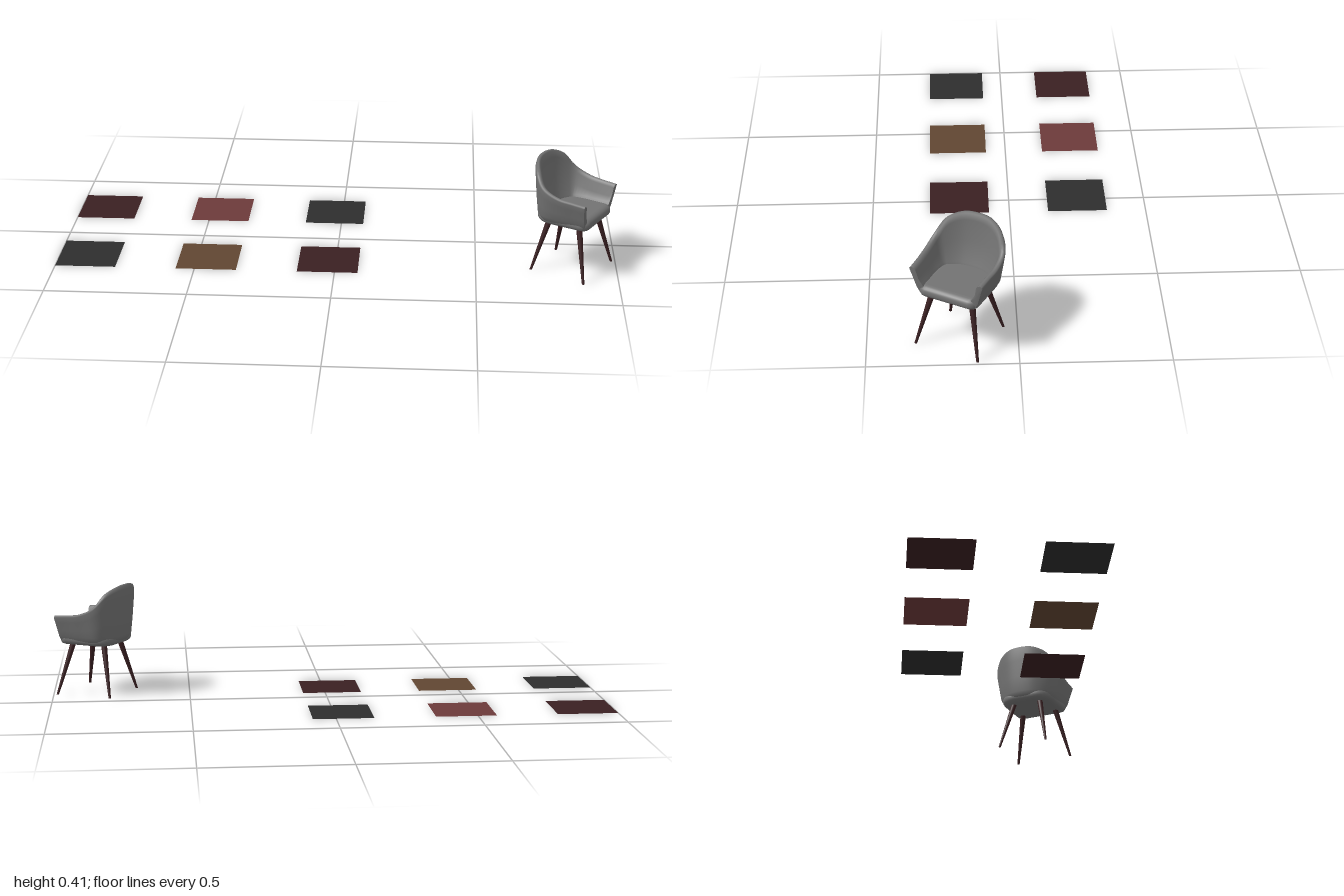
import * as THREE from 'three';
import { mergeVertices } from 'three/addons/utils/BufferGeometryUtils.js';

const material = (name, color) =>
  new THREE.MeshStandardMaterial({ name, color, side: THREE.DoubleSide });

// Half of the shell rim, from the middle of the back to the arm tip: x, y, z
const RIM = [
  [0, 0.411, -0.132], [0.055, 0.406, -0.125], [0.105, 0.382, -0.098],
  [0.132, 0.335, -0.06], [0.137, 0.308, 0], [0.134, 0.301, 0.055], [0.133, 0.297, 0.104],
];

// Wall cross-section as [inset, height], from the outer bottom over the rim to the inner bottom
function wallProfile(top, back) {
  const h = top - 0.21;
  const at = (k) => 0.21 + k * h;
  const flare = 0.008 * (1 - back);
  return [
    [0.06, 0.188], [0.038, 0.191], [0.022 + flare, 0.203], [0.013 + flare, 0.22],
    [0.007 + flare, at(0.35)], [0.002 + flare / 2, at(0.7)], [0, at(0.92)], [0.003, top - 0.003],
    [0.01, top], [0.017, top - 0.004], [0.023, at(0.87)], [0.03, at(0.5)],
    [0.04 + 0.015 * back, 0.236], [0.055 + 0.01 * back, 0.212],
  ];
}

// Wrap-around back and arms, swept along the rim
function shellGeometry() {
  const half = RIM.map((p) => new THREE.Vector3(...p));
  const mirrored = half.slice(1).map((p) => new THREE.Vector3(-p.x, p.y, p.z));
  const curve = new THREE.CatmullRomCurve3([...half.slice().reverse(), ...mirrored]);
  const steps = 56, positions = [], index = [];
  let rows = 0;
  for (let i = 0; i <= steps; i++) {
    const p = curve.getPoint(i / steps);
    const t = curve.getTangent(i / steps);
    const len = Math.hypot(t.x, t.z);
    const inX = t.z / len, inZ = -t.x / len;
    const back = THREE.MathUtils.clamp(-p.z / 0.13, 0, 1);
    const front = THREE.MathUtils.smoothstep(p.z, 0, 0.104);
    const profile = wallProfile(p.y, back);
    rows = profile.length;
    for (const [inset, y] of profile) {
      const lean = 0.012 * front * (p.y - y) / (p.y - 0.188);
      positions.push(p.x + inX * inset, y, p.z + inZ * inset - lean);
    }
  }
  for (let i = 0; i < steps; i++) {
    for (let j = 0; j < rows; j++) {
      const k = (j + 1) % rows;
      const a = i * rows + j, b = a + rows, c = (i + 1) * rows + k, d = i * rows + k;
      index.push(a, b, c, a, c, d);
    }
  }
  // Slightly domed front faces of the two arms
  for (const end of [0, steps]) {
    const ring = positions.slice(end * rows * 3, (end + 1) * rows * 3);
    const start = positions.length / 3;
    const centre = [0, 0, 0.003];
    ring.forEach((v, n) => { centre[n % 3] += v / rows; });
    positions.push(...ring, ...centre);
    for (let j = 0; j < rows; j++) {
      const a = start + j, b = start + (j + 1) % rows;
      index.push(start + rows, ...(end === 0 ? [a, b] : [b, a]));
    }
  }
  const geometry = new THREE.BufferGeometry();
  geometry.setAttribute('position', new THREE.Float32BufferAttribute(positions, 3));
  geometry.setIndex(index);
  geometry.computeVertexNormals();
  return geometry;
}

// Rounded seat pad, softened by a bevel and smooth normals
function cushionGeometry() {
  const w = 0.086, f = 0.083, b = -0.086, r = 0.05;
  const shape = new THREE.Shape();
  shape.moveTo(-w + 0.01, -f);
  shape.lineTo(w - 0.01, -f);
  shape.quadraticCurveTo(w, -f, w, -f + 0.01);
  shape.lineTo(w, -b - r);
  shape.quadraticCurveTo(w, -b, w - r, -b);
  shape.lineTo(-w + r, -b);
  shape.quadraticCurveTo(-w, -b, -w, -b - r);
  shape.lineTo(-w, -f + 0.01);
  shape.quadraticCurveTo(-w, -f, -w + 0.01, -f);
  let geometry = new THREE.ExtrudeGeometry(shape, {
    depth: 0.006, bevelThickness: 0.018, bevelSize: 0.022, bevelSegments: 5, curveSegments: 8,
  });
  geometry.rotateX(-Math.PI / 2).translate(0, 0.205, 0);
  geometry.deleteAttribute('uv');
  geometry.deleteAttribute('normal');
  geometry = mergeVertices(geometry, 1e-5);
  geometry.computeVertexNormals();
  return geometry;
}

// Tapered leg, sheared so that its foot stays flat on the floor
function legGeometry(foot, top) {
  const h = 0.2;
  const sx = (top[0] - foot[0]) / 0.19, sz = (top[1] - foot[1]) / 0.19;
  const geometry = new THREE.CylinderGeometry(0.0115, 0.0045, h, 16).translate(0, h / 2, 0);
  geometry.applyMatrix4(new THREE.Matrix4().set(
    1, sx, 0, foot[0], 0, 1, 0, 0, 0, sz, 1, foot[1], 0, 0, 0, 1));
  geometry.computeVertexNormals();
  return geometry;
}

export function createModel() {
  const fabric = material('grey fabric', 0x737373);
  const wine = material('dark wine wood', 0x3a2022);
  const red = material('red wood', 0x6c3a3a);
  const black = material('charcoal', 0x2d2d2d);
  const brown = material('brown wood', 0x614632);

  const model = new THREE.Group();
  const add = (parent, name, geometry, mat) => {
    const mesh = new THREE.Mesh(geometry, mat);
    mesh.name = name;
    parent.add(mesh);
    return mesh;
  };

  // Armchair, turned towards the side
  const chair = new THREE.Group();
  chair.name = 'armchair';
  chair.position.set(0.8375, 0, 0.186);
  chair.rotation.y = THREE.MathUtils.degToRad(61);
  model.add(chair);
  add(chair, 'shell', shellGeometry(), fabric);
  add(chair, 'seatCushion', cushionGeometry(), fabric);
  for (const s of [1, -1]) {
    const side = s > 0 ? 'Left' : 'Right';
    add(chair, 'frontLeg' + side, legGeometry([s * 0.115, 0.106], [s * 0.072, 0.06]), wine);
    add(chair, 'backLeg' + side, legGeometry([s * 0.1, -0.106], [s * 0.057, -0.061]), wine);
  }

  // Flat colour samples on the floor, two rows of three
  const samples = new THREE.Group();
  samples.name = 'colourSamples';
  model.add(samples);
  const square = new THREE.PlaneGeometry(0.216, 0.216).rotateX(-Math.PI / 2);
  [[wine, red, black], [black, brown, wine]].forEach((row, r) => row.forEach((mat, c) => {
    add(samples, `sample${r * 3 + c + 1}`, square, mat)
      .position.set(-0.892 + c * 0.433, 0, -0.25 + r * 0.433);
  }));
  return model;
}
